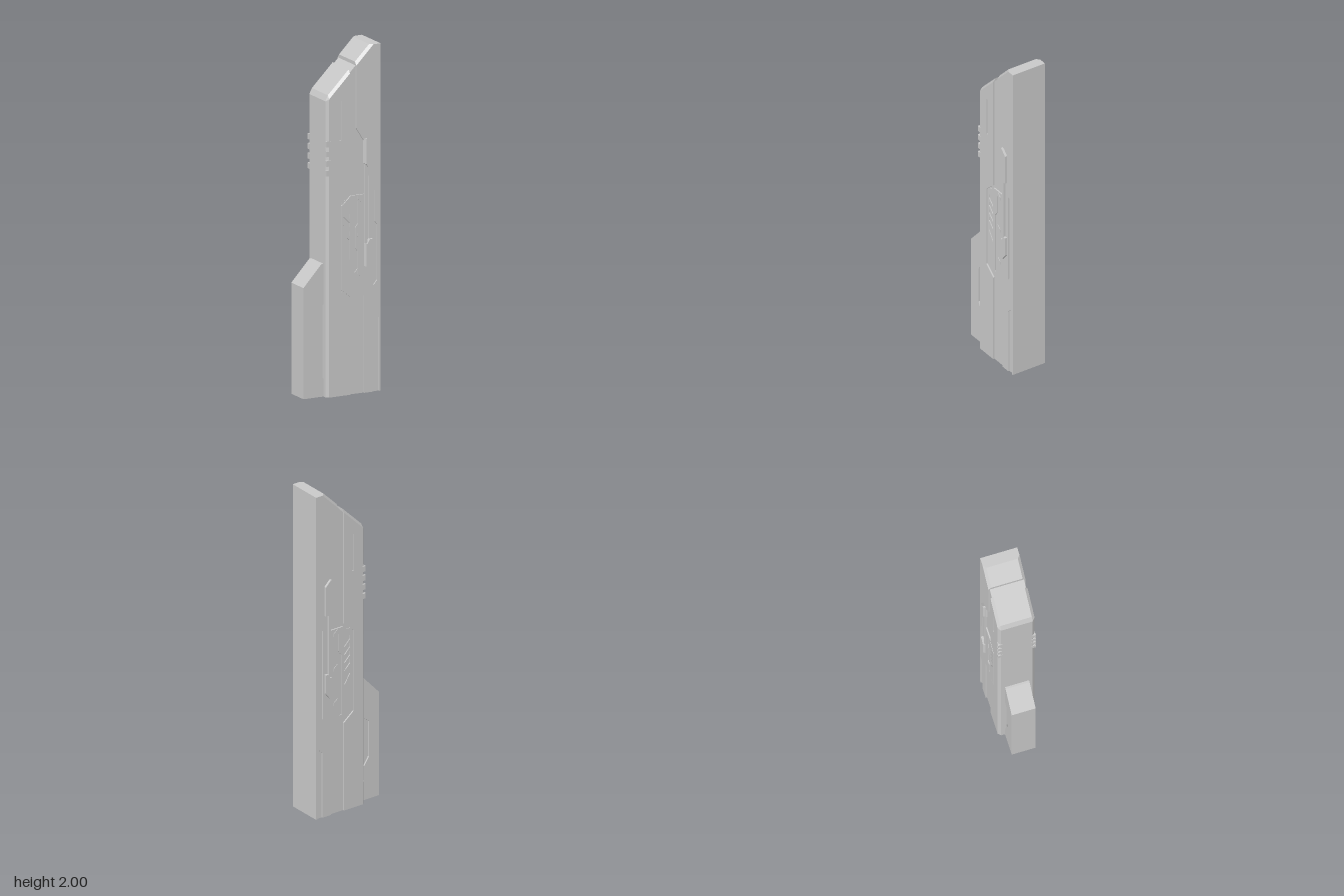
import * as THREE from 'three';

const metal = new THREE.MeshStandardMaterial({ color: 0xc8c8c8 });
metal.name = 'lightGreyMetal';

const toPath = (pts, Type) => new Type(pts.map(([x, y]) => new THREE.Vector2(x, y)));

// Prism from z0 to z1; bevel(x, y) optionally moves the corners of the outer face.
function prism(pts, z0, z1, holes = [], bevel = null) {
  const shape = toPath(pts, THREE.Shape);
  shape.holes = holes.map(h => toPath(h, THREE.Path));
  const geo = new THREE.ExtrudeGeometry(shape, { depth: z1 - z0, bevelEnabled: false });
  geo.translate(0, 0, z0);
  if (bevel) {
    const p = geo.attributes.position;
    for (let i = 0; i < p.count; i++) {
      if (p.getZ(i) < (z0 + z1) / 2) continue;
      const [x, y] = bevel(p.getX(i), p.getY(i));
      p.setXY(i, x, y);
    }
  }
  geo.computeVertexNormals();
  return geo;
}

// Mirror to the back, keeping the triangles facing outwards.
function mirrored(geo) {
  const g = geo.clone();
  const p = g.attributes.position;
  for (let i = 0; i < p.count; i += 3) {
    const t = [0, 1, 2].map(k => new THREE.Vector3().fromBufferAttribute(p, i + k));
    [t[0], t[2], t[1]].forEach((v, k) => p.setXYZ(i + k, v.x, v.y, -v.z));
  }
  g.computeVertexNormals();
  return g;
}

const rect = (x0, y0, x1, y1) => [[x0, y0], [x1, y0], [x1, y1], [x0, y1]];

export function createModel() {
  const model = new THREE.Group();
  model.name = 'slabTower';
  const add = (name, geo) => {
    const mesh = new THREE.Mesh(geo, metal);
    mesh.name = name;
    model.add(mesh);
  };
  const addBoth = (name, geo) => {
    add(name + 'Front', geo);
    add(name + 'Back', mirrored(geo));
  };

  // Inner core: floor of the grooves and recesses
  add('core', prism([[-0.1, 0], [0.234, 0], [0.234, 1.98], [0.17, 1.98], [-0.09, 1.72], [-0.1, 1.69]], -0.1, 0.1));

  // Narrow block, with a bay cut into its faces
  add('narrowBlock', prism([[-0.108, 0], [0.04, 0], [0.04, 1.87], [-0.092, 1.738], [-0.108, 1.705]], -0.092, 0.092));
  const narrowFace = [[-0.108, 0], [0.04, 0], [0.04, 0.545], [-0.027, 0.6], [-0.027, 1.1],
    [0.04, 1.16], [0.04, 1.87], [-0.092, 1.738], [-0.108, 1.705]];
  addBoth('narrowFace', prism(narrowFace, 0.092, 0.108, [rect(-0.026, 1.47, -0.014, 1.7)], (x, y) => {
    const nx = Math.max(x, -0.093);
    return [nx, Math.min(y, nx + 1.81)];
  }));
  addBoth('slotFloor', prism(rect(-0.028, 1.46, -0.012, 1.71), 0.095, 0.103));

  // Wide block, with a rail channel, a stepped slot and a bottom slot
  const wide = [[0.13, 0], [0.235, 0], [0.235, 2], [0.17, 2], [0.08, 1.91], [0.08, 1.53], [0.13, 1.45]];
  add('wideBlock', prism(wide, -0.092, 0.092));
  const bottomSlot = [[0.19, 0], [0.19, 0.4], [0.215, 0.425], [0.224, 0.425], [0.224, 0]];
  const railChannel = [[0.13, 1.32], [0.15, 1.3], [0.16, 1.25], [0.16, 0.88], [0.142, 0.86], [0.13, 0.86]];
  const steppedSlot = [[0.188, 0.61], [0.212, 0.64], [0.212, 0.96], [0.2, 0.98], [0.2, 1.16], [0.188, 1.16]];
  const wideFace = [wide[0], ...bottomSlot, ...wide.slice(1), ...railChannel];
  addBoth('wideFace', prism(wideFace, 0.092, 0.108, [steppedSlot],
    (x, y) => (y > 1.99 && x < 0.2 ? [0.19, 2] : [x, Math.min(y, x + 1.81)])));

  // Bay plate with slanted vents and a ragged channel
  const vents = [0, 1, 2, 3].map(i => {
    const y = 1.055 - i * 0.05;
    return [[-0.002, y], [0.036, y - 0.04], [0.036, y - 0.014], [-0.002, y + 0.026]];
  });
  vents.push([[-0.002, 0.84], [0.036, 0.88], [0.036, 0.78]]);
  const channel = [[0.058, 0.6], [0.07, 0.6], [0.07, 0.7], [0.088, 0.72], [0.088, 0.82], [0.074, 0.84],
    [0.074, 0.96], [0.09, 0.98], [0.09, 1.11], [0.078, 1.11], [0.078, 1.0], [0.058, 0.97]];
  const bay = [[-0.013, 0.61], [0.046, 0.56], [0.13, 0.56], [0.13, 1.145], [0.046, 1.145], [-0.013, 1.092]];
  addBoth('bayPlate', prism(bay, 0.1, 0.108, [...vents, channel]));
  addBoth('ventFloor', prism(rect(-0.008, 0.59, 0.1, 1.12), 0.098, 0.103));

  // Small slanted bars beside the channel
  for (let i = 0; i < 3; i++) {
    const y = 0.67 + i * 0.215;
    addBoth('slantedBar' + (i + 1),
      prism([[0.088, y + 0.02], [0.112, y], [0.112, y + 0.02], [0.088, y + 0.04]], 0.1, 0.111));
  }

  // Raised latch: two ends joined by a thin rail
  const chamfer = (x, y) => [Math.max(x, 0.137), y];
  addBoth('latchTop', prism([[0.127, 1.32], [0.15, 1.3], [0.155, 1.25], [0.177, 1.25], [0.177, 1.43],
    [0.143, 1.465], [0.127, 1.465]], 0.1, 0.122, [], chamfer));
  addBoth('latchRail', prism(rect(0.134, 0.86, 0.15, 1.32), 0.1, 0.113));
  addBoth('latchBottom', prism([[0.127, 0.73], [0.147, 0.73], [0.177, 0.77], [0.177, 0.885], [0.16, 0.885],
    [0.145, 0.86], [0.127, 0.86]], 0.1, 0.122, [], chamfer));

  // Four teeth filling the chamfered corner
  for (let i = 0; i < 4; i++) {
    const y = 1.275 + i * 0.056;
    addBoth('cornerTooth' + (i + 1), prism(rect(-0.11, y, -0.085, y + 0.033), 0.085, 0.11));
  }

  // Side fin with recessed pocket on both faces
  add('fin', prism([[-0.235, 0], [-0.1, 0], [-0.1, 0.765], [-0.12, 0.765], [-0.235, 0.64]], -0.06, 0.06));
  addBoth('finFace', prism([[-0.235, 0], [-0.105, 0], [-0.105, 0.1], [-0.13, 0.12], [-0.13, 0.21],
    [-0.163, 0.26], [-0.163, 0.48], [-0.105, 0.535], [-0.105, 0.765], [-0.12, 0.765], [-0.235, 0.64]],
  0.06, 0.07));

  return model;
}
